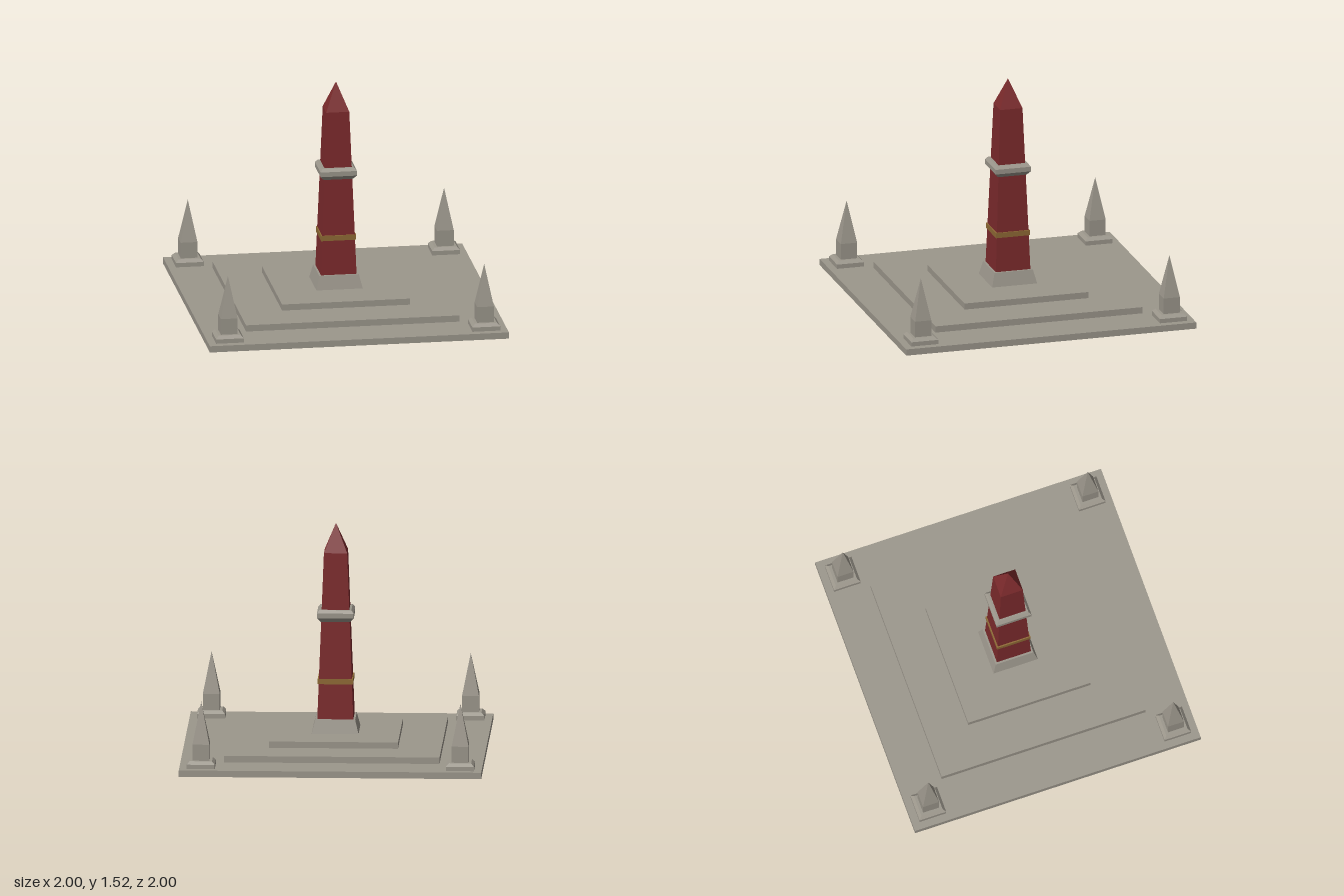
import * as THREE from 'three';

const paint = (name, color) => {
  const m = new THREE.MeshStandardMaterial({ color, flatShading: true });
  m.name = name;
  return m;
};

// Square solid from a profile of [half width, height] pairs, bottom to top
function squareTurned(name, profile, material) {
  const points = profile.map(([h, y]) => new THREE.Vector2(h * Math.SQRT2, y));
  const geometry = new THREE.LatheGeometry(points, 4, Math.PI / 4);
  const mesh = new THREE.Mesh(geometry, material);
  mesh.name = name;
  return mesh;
}

function slab(name, half, y0, y1, material) {
  const mesh = new THREE.Mesh(new THREE.BoxGeometry(half * 2, y1 - y0, half * 2), material);
  mesh.position.y = (y0 + y1) / 2;
  mesh.name = name;
  return mesh;
}

export function createModel() {
  const stone = paint('stone', 0x9c978c);
  const red = paint('red granite', 0x7c2a2c);
  const gold = paint('gold', 0x8f6a35);

  const model = new THREE.Group();
  model.name = 'obeliskMonument';

  // Stepped platform
  model.add(
    slab('lowerStep', 1, 0, 0.043, stone),
    slab('middleStep', 0.713, 0.043, 0.086, stone),
    slab('upperStep', 0.427, 0.086, 0.128, stone),
  );

  // Central obelisk: pedestal, tapered shaft with pointed cap, band and collar
  model.add(
    squareTurned('pedestal', [[0, 0.128], [0.155, 0.128], [0.132, 0.22], [0, 0.22]], stone),
    squareTurned('shaft', [[0, 0.22], [0.119, 0.22], [0.077, 1.33], [0, 1.52]], red),
    squareTurned('goldBand', [[0.1, 0.455], [0.117, 0.455], [0.117, 0.49], [0.1, 0.49]], gold),
    squareTurned('collar', [[0.08, 0.872], [0.098, 0.872], [0.122, 0.9], [0.122, 0.932],
      [0.106, 0.952], [0.08, 0.952]], stone),
  );

  // Four small corner obelisks
  for (const x of [-1, 1]) for (const z of [-1, 1]) {
    const corner = new THREE.Group();
    corner.name = 'cornerObelisk';
    corner.position.set(x * 0.857, 0, z * 0.857);
    corner.add(
      squareTurned('cornerPlinth', [[0, 0.043], [0.093, 0.043], [0.093, 0.072], [0.074, 0.092], [0, 0.092]], stone),
      squareTurned('cornerSpire', [[0.056, 0.092], [0.056, 0.2], [0, 0.48]], stone),
    );
    model.add(corner);
  }
  return model;
}
